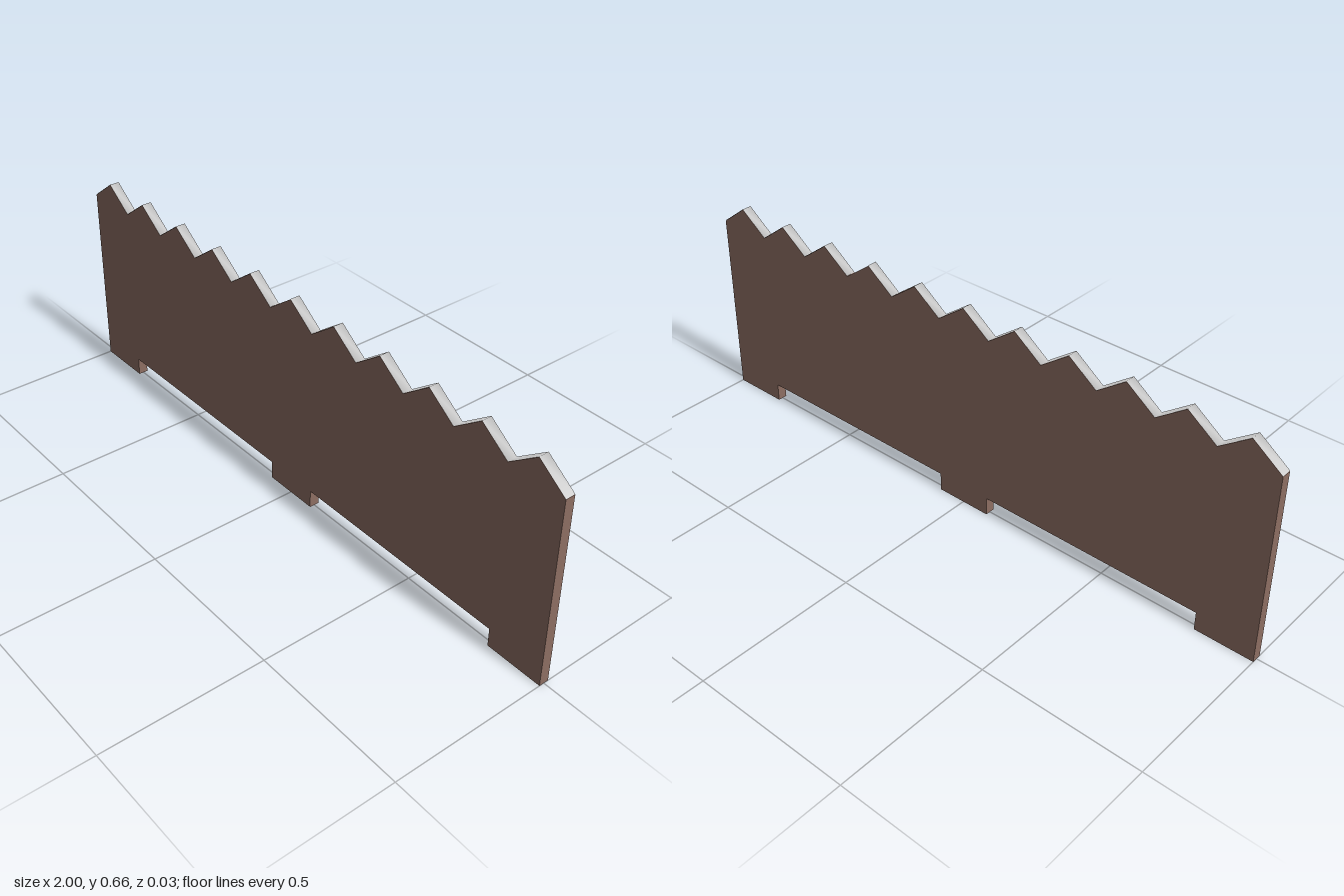
import * as THREE from 'three';

const TEETH = 11;
const PITCH = 2 / TEETH;
const VALLEY = 0.594, PEAK = 0.661;
const NOTCH = 0.058, FOOT = PITCH / 2;
const DEPTH = 0.031;

// Zigzag height at step i (two steps per tooth)
const edgeY = (i) => (i % 2 ? PEAK : VALLEY);

export function createModel() {
  const model = new THREE.Group();

  // Panel: three feet below, sawtooth edge above
  const outline = new THREE.Shape();
  outline.moveTo(-1, 0);
  for (const [a, b] of [[-1 + PITCH, -FOOT], [FOOT, 1 - PITCH]]) {
    outline.lineTo(a, 0);
    outline.lineTo(a, NOTCH);
    outline.lineTo(b, NOTCH);
    outline.lineTo(b, 0);
  }
  outline.lineTo(1, 0);
  for (let i = TEETH * 2; i >= 0; i--) outline.lineTo(-1 + i * PITCH / 2, edgeY(i));
  outline.closePath();

  const panelGeometry = new THREE.ExtrudeGeometry(outline, { depth: DEPTH, bevelEnabled: false });
  panelGeometry.translate(0, 0, -DEPTH / 2);
  const panel = new THREE.Mesh(panelGeometry, new THREE.MeshStandardMaterial({ color: 0x8d6e63 }));
  panel.name = 'panel';
  model.add(panel);

  // Grey strip along the teeth, normals blended from tooth to tooth
  const stripGeometry = new THREE.PlaneGeometry(2, DEPTH, TEETH * 2, 1);
  stripGeometry.rotateX(-Math.PI / 2);
  const position = stripGeometry.attributes.position;
  for (let v = 0; v < position.count; v++) {
    position.setY(v, edgeY(v % (TEETH * 2 + 1)) + 0.001);
  }
  stripGeometry.computeVertexNormals();
  const strip = new THREE.Mesh(
    stripGeometry,
    new THREE.MeshStandardMaterial({ color: 0xcccccc, side: THREE.DoubleSide })
  );
  strip.name = 'toothedTopEdge';
  model.add(strip);

  return model;
}
